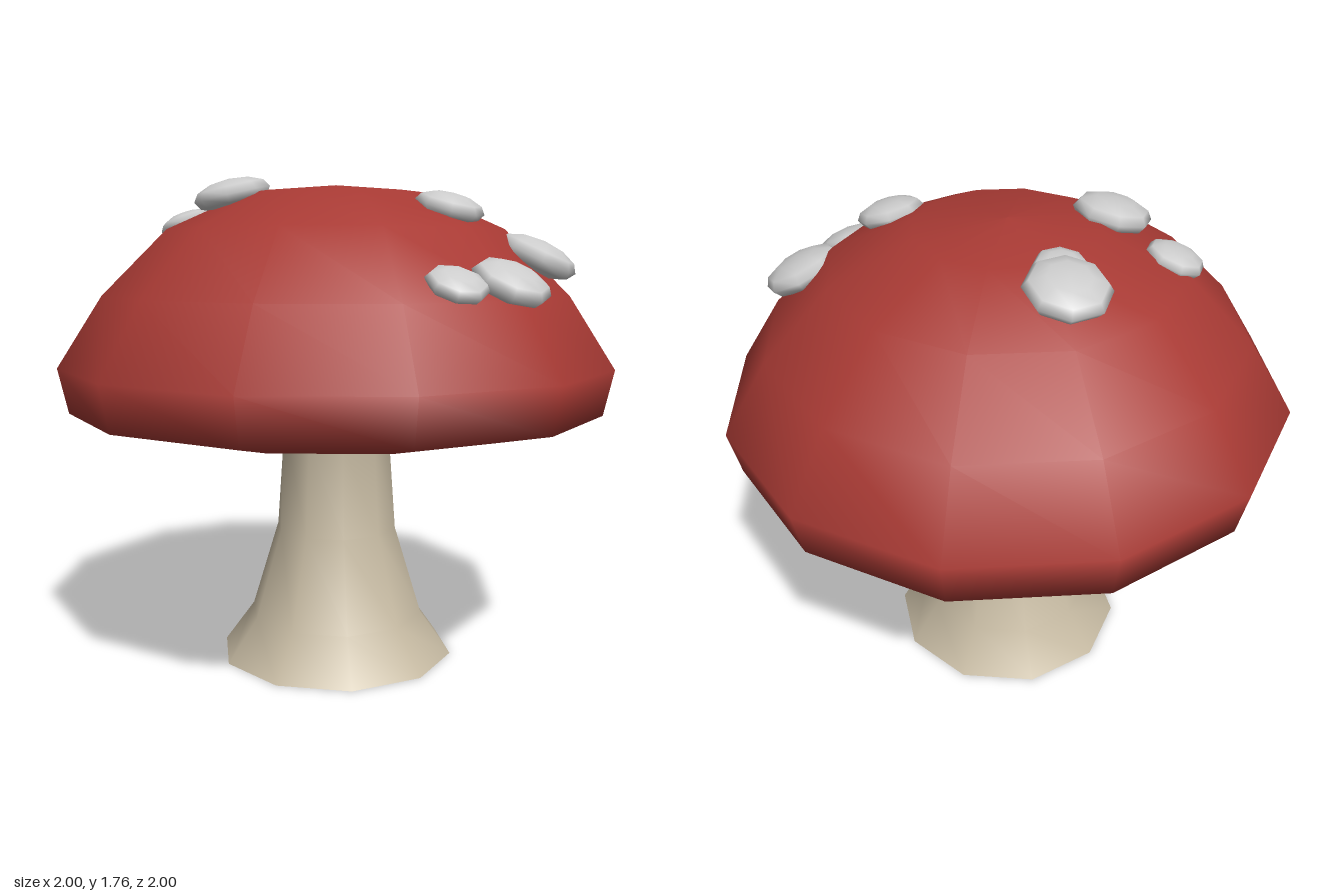
import * as THREE from 'three';

const paint = (color) => new THREE.MeshStandardMaterial({ color });

// Faceted lathe with smooth normals, one corner on the x axis; points run bottom to top
function turned(name, points, sides, material) {
  const profile = points.map(([r, y]) => new THREE.Vector2(r, y));
  const mesh = new THREE.Mesh(new THREE.LatheGeometry(profile, sides, Math.PI / 2), material);
  mesh.name = name;
  return mesh;
}

export function createModel() {
  const model = new THREE.Group();
  model.name = 'mushroom';
  const red = paint(0xa83a34);
  const cream = paint(0xc8bca4);
  const grey = paint(0xcccccc);

  // Cap: hollow underside, rolled rim, domed top
  model.add(turned('cap', [
    [0, 1.03], [0.25, 1.0], [0.5, 0.93], [0.74, 0.89], [0.965, 0.94],
    [1, 1.1], [0.84, 1.35], [0.61, 1.58], [0.32, 1.71], [0, 1.74],
  ], 12, red));

  // Stem: flared foot, narrow neck, spreading into the cap
  model.add(turned('stem', [
    [0.438, 0], [0.325, 0.155], [0.225, 0.48], [0.2, 0.83], [0.25, 1.0],
  ], 10, cream));

  // Flat sole closing the foot
  const sole = new THREE.Mesh(new THREE.CircleGeometry(0.438, 10), cream);
  sole.rotation.x = Math.PI / 2;
  sole.name = 'stemBase';
  model.add(sole);

  // Spots: flattened blobs leaning outwards, more so further down the cap [x, y, z, radius]
  const spots = new THREE.Group();
  spots.name = 'spots';
  const blob = new THREE.SphereGeometry(1, 8, 6);
  const up = new THREE.Vector3(0, 1, 0);
  [
    [-0.185, 1.702, 0.33, 0.138],
    [-0.44, 1.608, 0.34, 0.105],
    [-0.395, 1.685, -0.18, 0.142],
    [-0.315, 1.705, -0.11, 0.092],
    [0.47, 1.65, -0.08, 0.12],
    [0.625, 1.485, -0.365, 0.147],
    [0.81, 1.407, 0.02, 0.132],
    [0.765, 1.403, 0.225, 0.102],
  ].forEach(([x, y, z, r]) => {
    const spot = new THREE.Mesh(blob, grey);
    spot.name = 'spot';
    spot.position.set(x, y, z);
    spot.scale.set(r, r * 0.4, r);
    const reach = Math.hypot(x, z);
    const lean = Math.tan(0.6 * reach) / reach;
    spot.quaternion.setFromUnitVectors(up, new THREE.Vector3(x * lean, 1, z * lean).normalize());
    spots.add(spot);
  });
  model.add(spots);

  return model;
}
